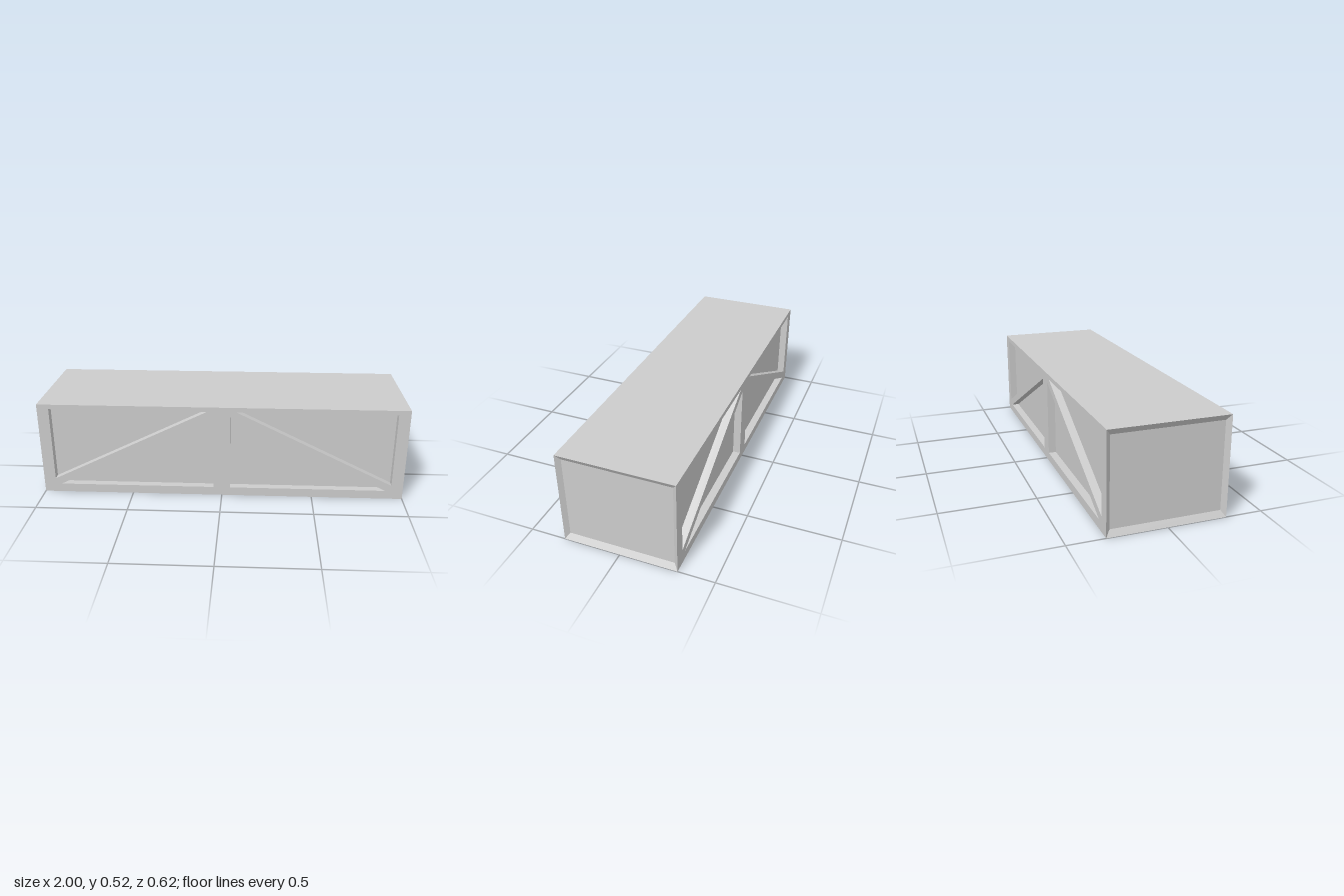
import * as THREE from 'three';

const W = 1, H = 0.524, D = 0.308; // half width, height, half depth
const POCKET = 0.042, END = 0.02;

const material = new THREE.MeshStandardMaterial({ color: 0xcccccc, flatShading: true });

// Sunken panel: sloping or straight walls from an outer loop (z = 0) to an inner
// loop (z = -depth), closed by a floor. Loops run counter-clockwise.
function recess(outer, inner, depth) {
  const pos = [];
  const o = i => [...outer[i % outer.length], 0];
  const n = i => [...inner[i % inner.length], -depth];
  for (let i = 0; i < outer.length; i++) {
    pos.push(...o(i), ...o(i + 1), ...n(i + 1), ...o(i), ...n(i + 1), ...n(i));
    if (i > 0 && i < outer.length - 1) pos.push(...n(0), ...n(i), ...n(i + 1));
  }
  const g = new THREE.BufferGeometry();
  g.setAttribute('position', new THREE.Float32BufferAttribute(pos, 3));
  g.computeVertexNormals();
  return g;
}

function add(parent, name, geometry) {
  const mesh = new THREE.Mesh(geometry, material);
  mesh.name = name;
  parent.add(mesh);
  return mesh;
}

const rect = (x, y0, y1) => [[-x, y0], [x, y0], [x, y1], [-x, y1]];
const toVectors = loop => loop.map(p => new THREE.Vector2(...p));

// Triangular pockets either side of each diagonal brace
const rightTriangles = [
  [[0.08, 0.498], [0.936, 0.08], [0.936, 0.498]],
  [[0.045, 0.048], [0.904, 0.048], [0.045, 0.47]],
];
const mirrored = rightTriangles.map(t => t.map(([x, y]) => [-x, y]).reverse());
const triangles = [...rightTriangles, ...mirrored];

// Long side: flat braced frame with recessed panels
function bracedSide(name) {
  const side = new THREE.Group();
  side.name = name;
  const frame = new THREE.Shape(toVectors(rect(W, 0, H)));
  for (const t of triangles) frame.holes.push(new THREE.Path(toVectors(t)));
  add(side, 'bracedFrame', new THREE.ShapeGeometry(frame));
  for (const t of triangles) add(side, 'recessedPanel', recess(t, t, POCKET));
  return side;
}

export function createModel() {
  const model = new THREE.Group();
  model.name = 'bracedCrate';

  for (const s of [1, -1]) {
    const side = bracedSide(s > 0 ? 'frontSide' : 'backSide');
    side.position.z = s * D;
    side.rotation.y = s > 0 ? 0 : Math.PI;
    model.add(side);

    // End with bevelled rim around a sunken panel
    const end = add(model, s > 0 ? 'leftEnd' : 'rightEnd',
      recess(rect(D, 0, H), rect(0.285, 0.032, H - 0.031), END));
    end.position.x = s * W;
    end.rotation.y = s * Math.PI / 2;

    // Plain top and bottom
    const cover = add(model, s > 0 ? 'top' : 'bottom', new THREE.PlaneGeometry(2 * W, 2 * D));
    cover.rotation.x = -s * Math.PI / 2;
    cover.position.y = s > 0 ? H : 0;
  }
  return model;
}
